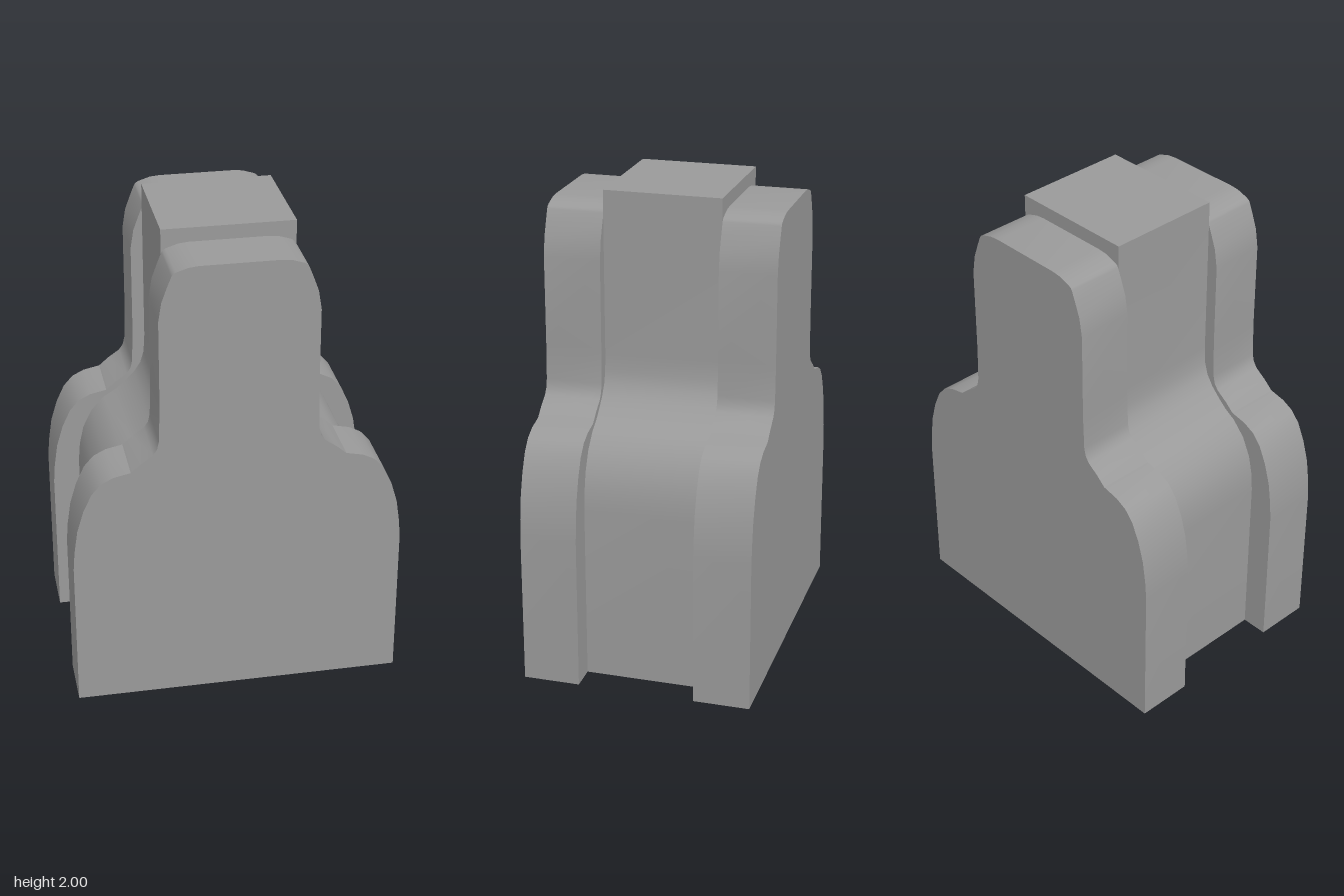
import * as THREE from 'three';
import { toCreasedNormals } from 'three/addons/utils/BufferGeometryUtils.js';

const material = new THREE.MeshStandardMaterial({ color: 0x9a9a9a });

// Right half outlines, from the floor up; mirrored to close the shape
const plateHalf = [
  [0.683, 0], [0.683, 0.64], [0.677, 0.72], [0.662, 0.82], [0.635, 0.91], [0.6, 0.985],
  [0.56, 1.03], [0.51, 1.055], [0.44, 1.07], [0.4, 1.105], [0.35, 1.14], [0.333, 1.165],
  [0.325, 1.2], [0.32, 1.35], [0.32, 1.72], [0.307, 1.8], [0.285, 1.86], [0.267, 1.905],
  [0.262, 1.913], [0.25, 1.921], [0.2, 1.937], [0.16, 1.941],
];
const coreHalf = [
  [0.57, 0], [0.57, 0.74], [0.563, 0.82], [0.545, 0.9], [0.506, 0.98], [0.45, 1.04],
  [0.4, 1.07], [0.36, 1.105], [0.32, 1.145], [0.29, 1.19], [0.275, 1.24], [0.27, 1.32], [0.27, 2],
];

// Symmetric slab extruded between two depths
function slab(name, half, zBack, zFront) {
  const mirrored = half.map(([x, y]) => [-x, y]).reverse();
  const outline = [...half, ...mirrored].map(([x, y]) => new THREE.Vector2(x, y));
  const geometry = new THREE.ExtrudeGeometry(new THREE.Shape(outline), {
    depth: zFront - zBack, bevelEnabled: false,
  });
  geometry.translate(0, 0, zBack);
  const mesh = new THREE.Mesh(toCreasedNormals(geometry, Math.PI / 6.5), material);
  mesh.name = name;
  return mesh;
}

export function createModel() {
  const model = new THREE.Group();
  model.name = 'shoulderedBlock';
  model.add(
    slab('frontPlate', plateHalf, 0.245, 0.482),
    slab('core', coreHalf, -0.245, 0.245),
    slab('backPlate', plateHalf, -0.482, -0.245),
  );
  return model;
}
